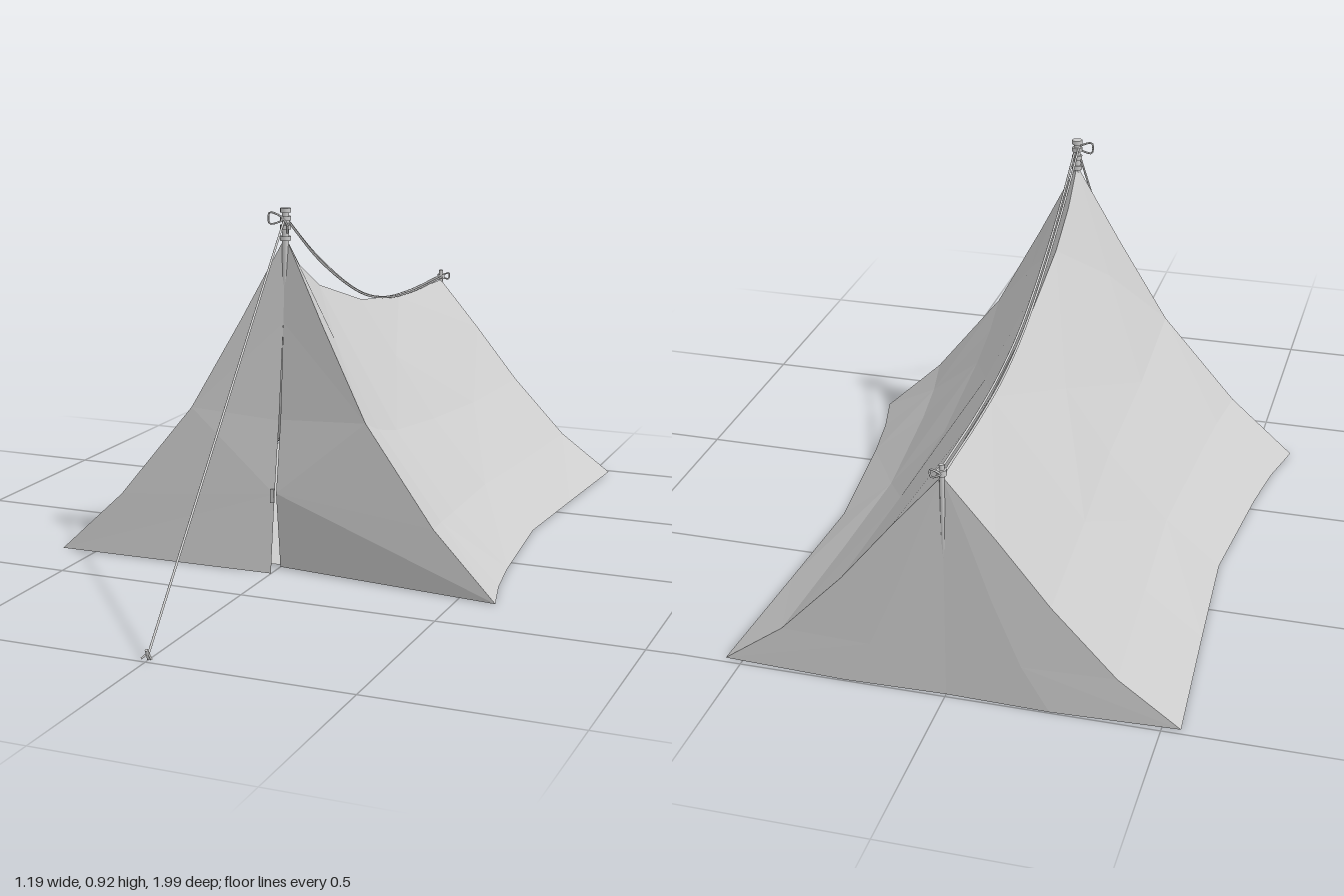
import * as THREE from 'three';

const cloth = new THREE.MeshStandardMaterial({ color: 0xcccccc, flatShading: true, side: THREE.DoubleSide });
const solid = new THREE.MeshStandardMaterial({ color: 0xcccccc });
const V = (x, y, z) => new THREE.Vector3(x, y, z);

// Sheet of cloth through equal-length rows of points
function sheet(name, rows) {
  const n = rows[0].length, index = [];
  for (let i = 0; i < rows.length - 1; i++) {
    for (let j = 0; j < n - 1; j++) {
      const a = i * n + j, b = a + 1, c = a + n, d = c + 1;
      if ((i + j) % 2) index.push(a, c, b, b, c, d);
      else index.push(a, c, d, a, d, b);
    }
  }
  const geo = new THREE.BufferGeometry().setFromPoints(rows.flat());
  geo.setIndex(index);
  geo.computeVertexNormals();
  const mesh = new THREE.Mesh(geo, cloth);
  mesh.name = name;
  return mesh;
}

function rope(name, points, radius = 0.003, closed = false) {
  const curve = new THREE.CatmullRomCurve3(points, closed);
  const mesh = new THREE.Mesh(new THREE.TubeGeometry(curve, points.length * 6, radius, 6, closed), solid);
  mesh.name = name;
  return mesh;
}

function rod(name, x, y0, y1, z, radius) {
  const mesh = new THREE.Mesh(new THREE.CylinderGeometry(radius, radius, y1 - y0, 10), solid);
  mesh.position.set(x, (y0 + y1) / 2, z);
  mesh.name = name;
  return mesh;
}

// Stations front to back: hem z, hem half width, ridge z, ridge height
const stations = [
  [0.33, 0.595, 0.22, 0.845],
  [0.2, 0.563, 0.13, 0.76],
  [0.05, 0.54, 0, 0.69],
  [-0.3, 0.505, -0.3, 0.605],
  [-0.62, 0.522, -0.6, 0.565],
  [-0.985, 0.543, -0.975, 0.56],
];
// Wall profile, ridge to hem: width fraction at the front, at the back, height fraction
const profile = [
  [0, 0, 1], [0.185, 0.22, 0.75], [0.4, 0.45, 0.475], [0.72, 0.73, 0.19], [1, 1, 0],
];

function wallPoint(s, k, side) {
  const [hemZ, half, ridgeZ, height] = stations[s];
  const [wf, wb, h] = profile[k];
  const w = THREE.MathUtils.lerp(wf, wb, s / (stations.length - 1));
  return V(side * w * half, h * height, THREE.MathUtils.lerp(hemZ, ridgeZ, h));
}

export function createModel() {
  const tent = new THREE.Group();
  tent.name = 'tent';
  const last = stations.length - 1;

  // Roof walls, door flaps and rear wall, mirrored about the ridge
  const doorY = [0.845, 0.63, 0.385, 0.2, 0];
  const doorZ = { '-1': [0.22, 0.235, 0.265, 0.295, 0.32], 1: [0.22, 0.235, 0.255, 0.285, 0.26] };
  for (const side of [-1, 1]) {
    const label = side > 0 ? 'left' : 'right';
    tent.add(sheet(label + 'Wall', stations.map((_, s) => profile.map((_, k) => wallPoint(s, k, side)))));
    tent.add(sheet(label + 'DoorFlap', profile.map((_, k) =>
      [wallPoint(0, k, side), V(0, doorY[k], doorZ[side][k])])));
    tent.add(sheet(label + 'RearWall', profile.map((p, k) => {
      const edge = wallPoint(last, k, side);
      const middle = V(edge.x * 0.45, edge.y, edge.z - 0.012 * (1 - p[2]));
      return [edge, middle, V(0, edge.y, edge.z - 0.006 * (1 - p[2]))];
    })));
  }

  // Ground sheet, set just inside the hem
  tent.add(sheet('groundSheet', stations.map(([z, half], s) => {
    const inset = s === 0 ? -0.015 : s === last ? 0.015 : 0;
    const x = half - 0.015;
    return [V(-x, 0.004, z + inset), V(0, 0.004, s === 0 ? 0.255 : z + inset), V(x, 0.004, z + inset)];
  })));

  // Front pole with collars, and rear pole
  tent.add(rod('frontPole', 0, 0.005, 0.915, 0.22, 0.009));
  for (const y of [0.84, 0.868, 0.89, 0.91]) tent.add(rod('poleCollar', 0, y - 0.005, y + 0.006, 0.22, 0.0135));
  tent.add(rod('rearPole', 0, 0.005, 0.59, -0.975, 0.006));
  tent.add(rod('rearPoleCollar', 0, 0.563, 0.577, -0.975, 0.011));

  // Ridge lines sagging from the front pole to the rear
  for (const [x, drop] of [[-0.006, 0], [0.006, 0.015]]) {
    tent.add(rope('ridgeLine', [
      V(x, 0.9 - drop, 0.22), V(x, 0.765 - drop, 0), V(x, 0.627 - drop * 0.4, -0.3),
      V(x, 0.58, -0.5), V(x, 0.567, -0.7), V(x, 0.57, -0.975),
    ]));
  }

  // Knot loops at both poles
  tent.add(rope('knotLoop', [V(0, 0.89, 0.232), V(-0.036, 0.905, 0.235), V(-0.036, 0.877, 0.235)], 0.0025, true));
  tent.add(rope('knotTail', [V(0, 0.89, 0.232), V(0.012, 0.875, 0.236), V(0.012, 0.855, 0.234)], 0.0025));
  tent.add(rope('rearKnotLoop', [V(0, 0.57, -0.985), V(0.022, 0.58, -0.987), V(0.02, 0.562, -0.987)], 0.0025, true));

  // Guy line and its ground peg
  tent.add(rope('guyLine', [V(0, 0.89, 0.225), V(0, 0.012, 0.985)], 0.003));
  const peg = rod('peg', 0, 0, 0.026, 0.988, 0.004);
  peg.rotation.x = 0.4;
  tent.add(peg);
  for (const side of [-1, 1]) {
    tent.add(rope('pegKnot', [V(0, 0.016, 0.985), V(side * 0.013, 0.004, 0.994)], 0.0025));
  }

  // Zip pull on the door
  const pull = new THREE.Mesh(new THREE.BoxGeometry(0.01, 0.035, 0.006), solid);
  pull.position.set(-0.004, 0.197, 0.299);
  pull.name = 'zipPull';
  tent.add(pull);

  return tent;
}
